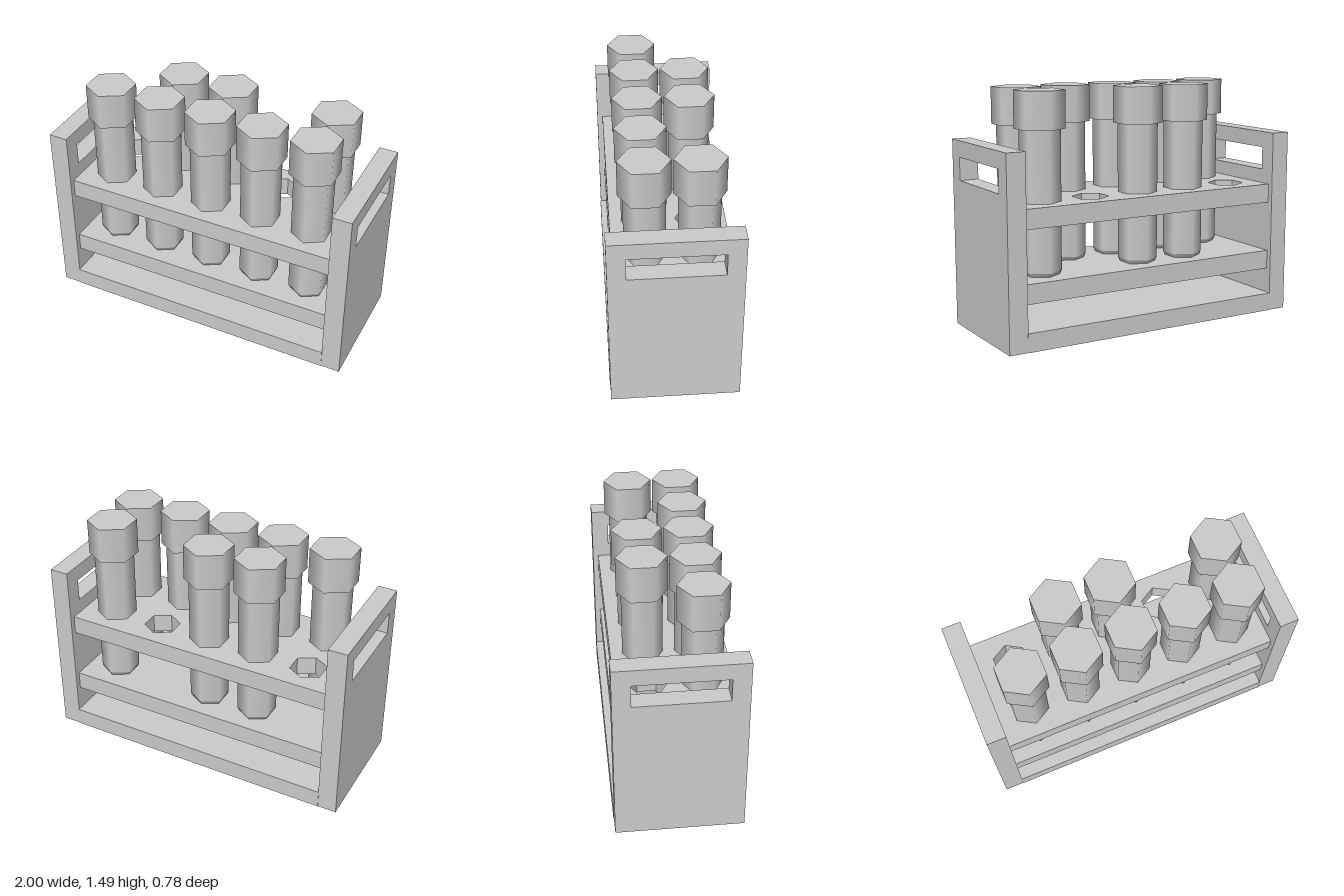
import * as THREE from 'three';

export function createModel() {
  const rack = new THREE.Group();
  rack.name = 'tubeRack';
  const grey = new THREE.MeshStandardMaterial({ color: 0xcccccc });
  grey.name = 'plain grey';

  const add = (parent, name, geometry, x = 0, y = 0, z = 0) => {
    const mesh = new THREE.Mesh(geometry, grey);
    mesh.name = name;
    mesh.position.set(x, y, z);
    parent.add(mesh);
    return mesh;
  };

  const rectangle = (Type, x0, y0, x1, y1) => new Type([
    new THREE.Vector2(x0, y0), new THREE.Vector2(x1, y0),
    new THREE.Vector2(x1, y1), new THREE.Vector2(x0, y1),
  ]);

  const columns = [-0.673, -0.337, 0, 0.337, 0.673];
  const rows = [0.157, -0.157];
  const innerX = 0.88;

  // End walls with a handle slot
  const wallShape = rectangle(THREE.Shape, -0.388, 0, 0.388, 1.17);
  wallShape.holes.push(rectangle(THREE.Path, -0.28, 0.925, 0.28, 1.068));
  const wallGeometry = new THREE.ExtrudeGeometry(wallShape, { depth: 0.12, bevelEnabled: false });
  wallGeometry.rotateY(Math.PI / 2);
  add(rack, 'leftWall', wallGeometry, innerX - 0.002);
  add(rack, 'rightWall', wallGeometry, -0.998);

  // Floor and solid lower shelf
  add(rack, 'floor', new THREE.BoxGeometry(innerX * 2, 0.115, 0.782), 0, 0.0575, 0);
  add(rack, 'lowerShelf', new THREE.BoxGeometry(innerX * 2, 0.12, 0.706), 0, 0.335, 0);

  // Upper shelf with hexagonal holes, points facing front and back
  const shelfShape = rectangle(THREE.Shape, -innerX, -0.353, innerX, 0.353);
  for (const x of columns) for (const z of rows) {
    const corners = [];
    for (let i = 0; i < 6; i++) {
      const a = i * Math.PI / 3;
      corners.push(new THREE.Vector2(x + 0.113 * Math.sin(a), -z + 0.113 * Math.cos(a)));
    }
    shelfShape.holes.push(new THREE.Path(corners));
  }
  const shelfGeometry = new THREE.ExtrudeGeometry(shelfShape, { depth: 0.12, bevelEnabled: false });
  shelfGeometry.rotateX(-Math.PI / 2);
  add(rack, 'upperShelf', shelfGeometry, 0, 0.715, 0);

  // Capped six-sided tubes; two slots in the back row stay empty
  const tubeGeometry = new THREE.CylinderGeometry(0.124, 0.121, 0.87, 6, 1, true);
  const tipGeometry = new THREE.CylinderGeometry(0.121, 0.108, 0.025, 6);
  const capGeometry = new THREE.CylinderGeometry(0.152, 0.152, 0.228, 6);
  rows.forEach((z, row) => columns.forEach((x, column) => {
    if (row === 1 && (column === 0 || column === 3)) return;
    const tube = new THREE.Group();
    tube.name = 'tube';
    tube.position.set(x, 0, z);
    add(tube, 'tubeBody', tubeGeometry, 0, 0.853, 0);
    add(tube, 'tubeTip', tipGeometry, 0, 0.4055, 0);
    add(tube, 'tubeCap', capGeometry, 0, 1.379, 0);
    rack.add(tube);
  }));

  return rack;
}
